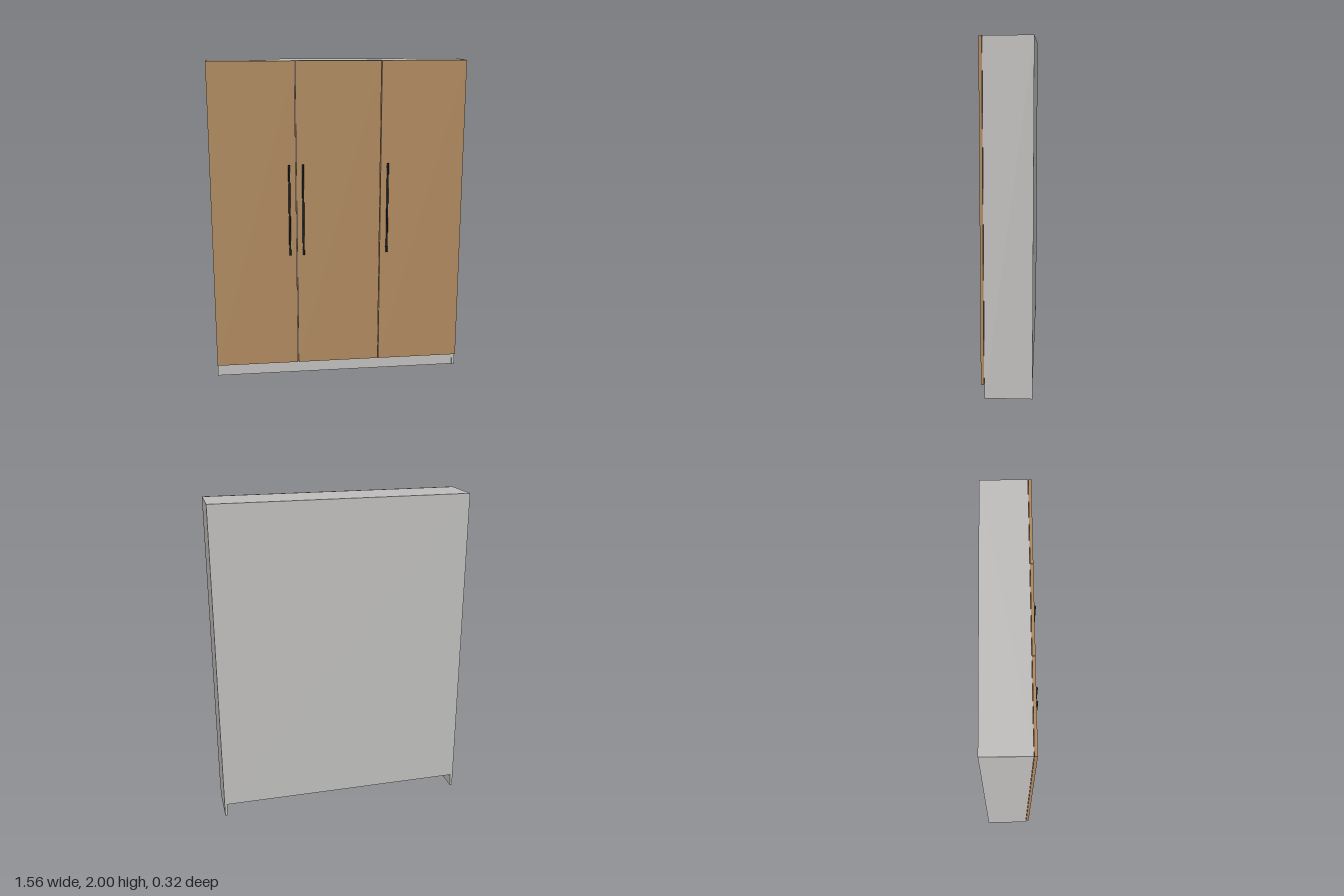
import * as THREE from 'three';

export function createModel() {
  const model = new THREE.Group();
  model.name = 'wardrobe';

  const mat = (name, color) => {
    const m = new THREE.MeshStandardMaterial({ color });
    m.name = name;
    return m;
  };
  const grey = mat('greyCarcass', 0xbebdbb);
  const wood = mat('woodFront', 0xad875d);
  const black = mat('blackMetal', 0x25262b);

  // Box given by its minimum and maximum on each axis
  const box = (name, material, [x0, x1], [y0, y1], [z0, z1], parent = model) => {
    const mesh = new THREE.Mesh(new THREE.BoxGeometry(x1 - x0, y1 - y0, z1 - z0), material);
    mesh.position.set((x0 + x1) / 2, (y0 + y1) / 2, (z0 + z1) / 2);
    mesh.name = name;
    parent.add(mesh);
    return mesh;
  };

  const W = 0.782, T = 0.016, H = 2;       // half width, board thickness, height
  const back = -0.162, front = 0.108;      // carcass depth
  const base = 0.08;                       // plinth height
  const inner = W - T;

  // Carcass
  box('leftSide', grey, [inner, W], [0, H], [back, front]);
  box('rightSide', grey, [-W, -inner], [0, H], [back, front]);
  box('topPanel', grey, [-inner, inner], [H - T, H], [back, front]);
  box('bottomPanel', grey, [-inner, inner], [base, base + T], [back, front]);
  box('backPanel', grey, [-inner, inner], [base + T, H - T], [back, back + 0.005]);
  box('plinth', grey, [-inner, inner], [0, base], [front - 0.008 - T, front - 0.008]);

  // Inner dividers behind the door joints
  for (const x of [-0.261, 0.261]) {
    box('divider', grey, [x - T / 2, x + T / 2], [base + T, H - T], [back + 0.005, front - 0.002]);
  }

  // Three doors with narrow gaps
  const doorFront = 0.127, gap = 0.002;
  const joints = [-W - gap, -0.261, 0.261, W + gap];
  ['rightDoor', 'middleDoor', 'leftDoor'].forEach((name, i) => {
    box(name, wood, [joints[i] + gap, joints[i + 1] - gap], [base, H - 0.002], [front + 0.002, doorFront]);
  });

  // Bar handles on two short posts
  const rod = (name, radius, length, parent) => {
    const mesh = new THREE.Mesh(new THREE.CylinderGeometry(radius, radius, length, 20), black);
    mesh.name = name;
    parent.add(mesh);
    return mesh;
  };
  for (const x of [-0.305, -0.221, 0.302]) {
    const handle = new THREE.Group();
    handle.name = 'handle';
    handle.position.set(x, 1.098, 0);
    rod('handleBar', 0.006, 0.568, handle).position.z = 0.156;
    for (const s of [-1, 1]) {
      const post = rod('handlePost', 0.0045, 0.156 - doorFront, handle);
      post.rotation.x = Math.PI / 2;
      post.position.set(0, s * 0.257, (0.156 + doorFront) / 2);
    }
    model.add(handle);
  }

  return model;
}
